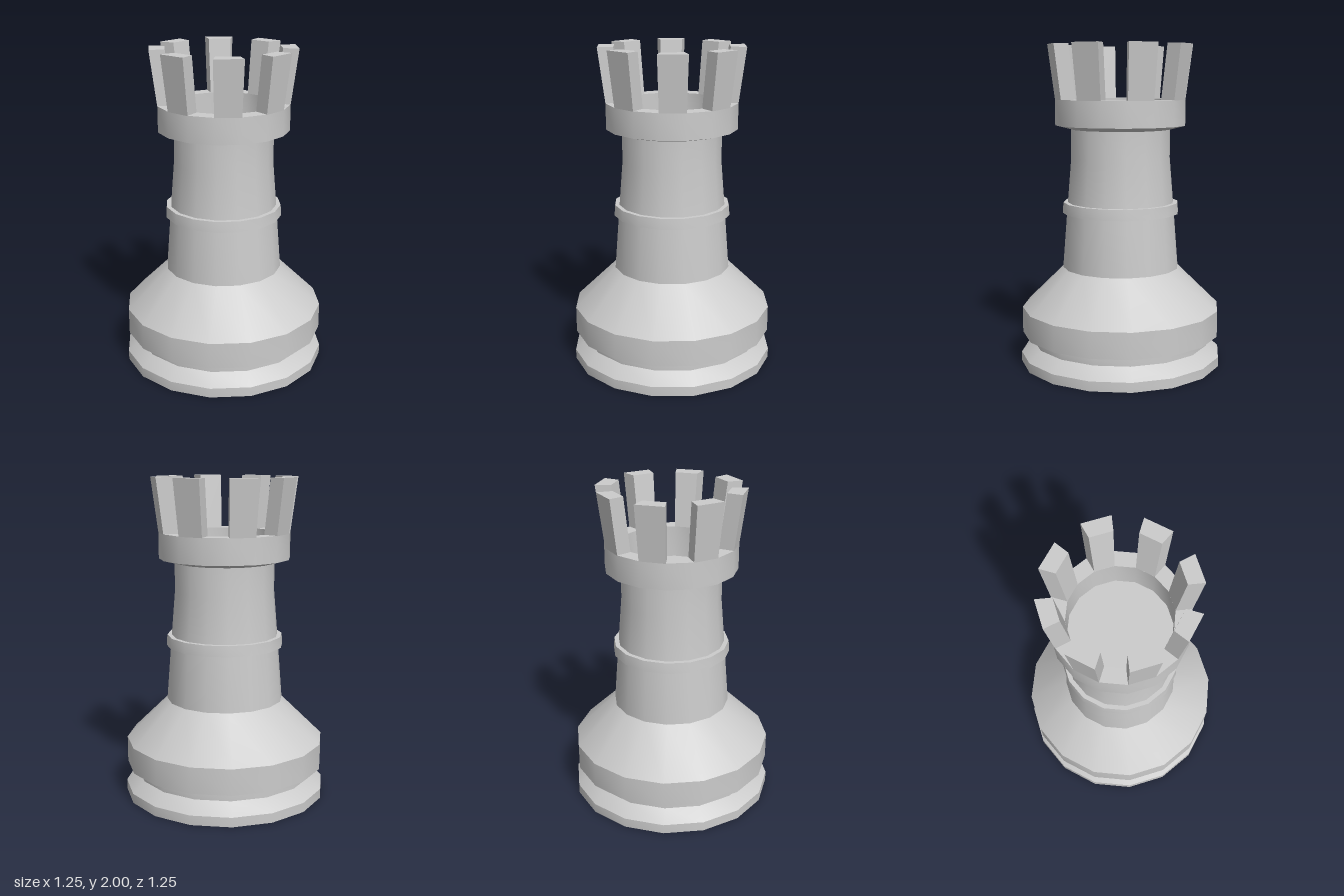
import * as THREE from 'three';
import { toCreasedNormals } from 'three/addons/utils/BufferGeometryUtils.js';

const SIDES = 16;
const STEP = (Math.PI * 2) / SIDES;
const FLAT = Math.cos(STEP / 2); // half-width across flats -> corner radius

export function createModel() {
  const model = new THREE.Group();
  model.name = 'rook';
  const material = new THREE.MeshStandardMaterial({ color: 0xcccccc });

  // Turned part from [half-width, height] pairs, listed bottom to top
  function turned(name, profile) {
    const points = profile.map(([w, y]) => new THREE.Vector2(w / FLAT, y));
    const lathe = new THREE.LatheGeometry(points, SIDES, STEP / 2);
    const mesh = new THREE.Mesh(toCreasedNormals(lathe, 0.6), material);
    mesh.name = name;
    model.add(mesh);
  }

  turned('base', [
    [0, 0], [0.625, 0], [0.625, 0.06], [0.55, 0.13], [0.55, 0.17],
    [0.615, 0.192], [0.615, 0.355], [0.36, 0.61],
  ]);
  turned('column', [[0.36, 0.61], [0.333, 0.96], [0.328, 1.02], [0.305, 1.3], [0.305, 1.48]]);
  turned('columnRing', [[0.33, 0.957], [0.36, 0.957], [0.355, 1.024], [0.325, 1.024]]);
  // Hollow crown: underside, outer wall, rim, inner wall and floor
  turned('crown', [
    [0.305, 1.48], [0.4, 1.505], [0.4, 1.665], [0.305, 1.665], [0.305, 1.47], [0, 1.47],
  ]);

  // Battlement: a box bent into a wedge that leans outward, one rim facet wide
  const wedge = new THREE.BoxGeometry(1, 1, 1);
  const pos = wedge.attributes.position;
  for (let i = 0; i < pos.count; i++) {
    const top = pos.getY(i) > 0;
    const outer = pos.getZ(i) > 0;
    const radius = (outer ? 0.4 : 0.305) / FLAT + (top ? 0.044 : 0);
    const angle = Math.sign(pos.getX(i)) * (STEP / 2);
    pos.setXYZ(i, Math.sin(angle) * radius, top ? 2 : 1.663, Math.cos(angle) * radius);
  }
  const merlonGeometry = toCreasedNormals(wedge, 0.2);

  const battlements = new THREE.Group();
  battlements.name = 'battlements';
  for (let i = 0; i < SIDES / 2; i++) {
    const merlon = new THREE.Mesh(merlonGeometry, material);
    merlon.name = 'merlon';
    merlon.rotation.y = STEP * (2 * i + 1);
    battlements.add(merlon);
  }
  model.add(battlements);

  model.rotation.y = 0.018;
  return model;
}
